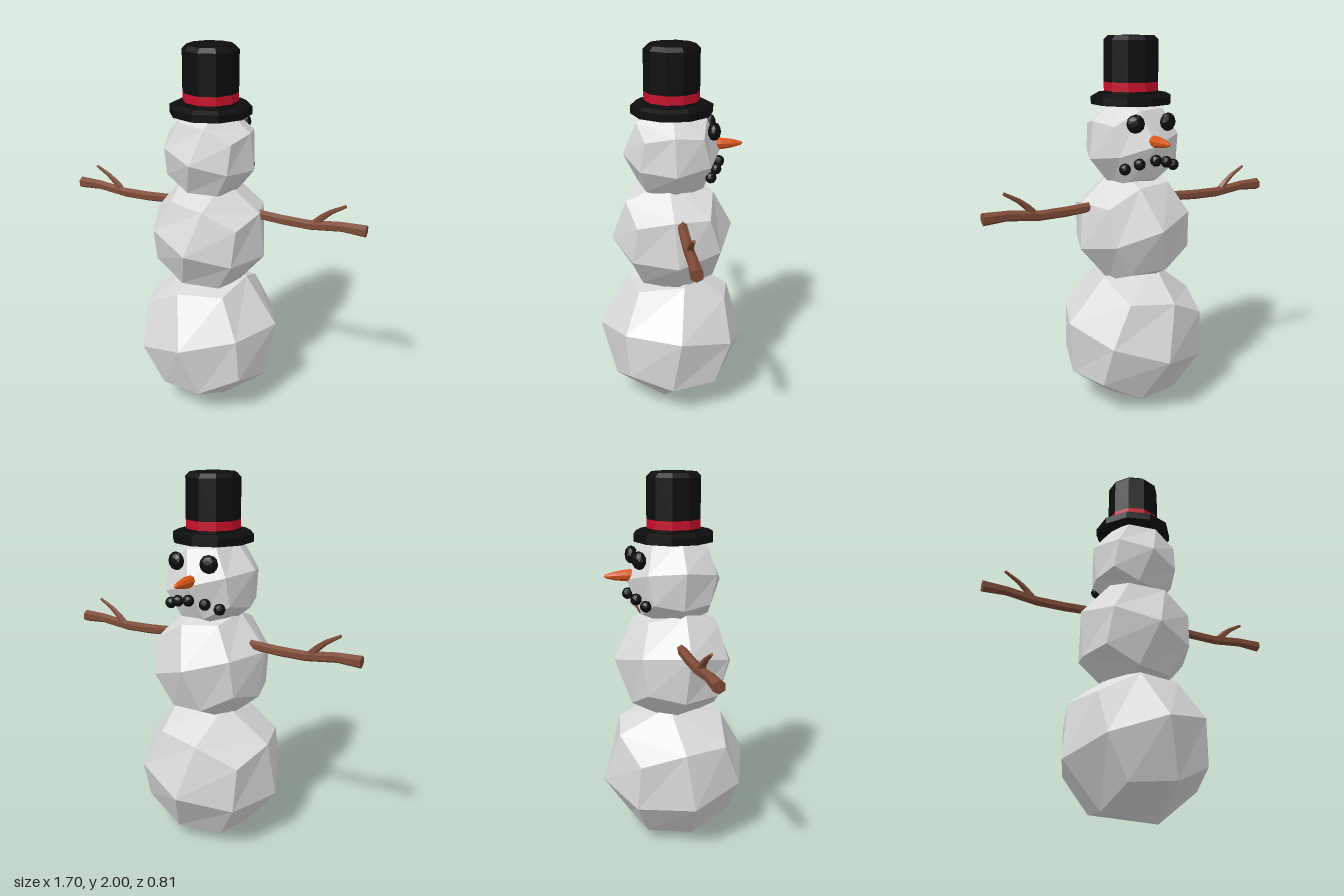
import * as THREE from 'three';

const mat = (name, color, flatShading = true) => {
  const m = new THREE.MeshStandardMaterial({ color, flatShading });
  m.name = name;
  return m;
};

export function createModel() {
  const snow = mat('snow', 0xdadada);
  const black = mat('black', 0x0d0d0d);
  const red = mat('red', 0xc8102a);
  const orange = mat('orange', 0xd9561a);
  const brown = mat('brown', 0x7d4a36);

  const model = new THREE.Group();
  model.name = 'snowman';
  const add = (name, geometry, material, parent = model) => {
    const mesh = new THREE.Mesh(geometry, material);
    mesh.name = name;
    parent.add(mesh);
    return mesh;
  };

  // Snowballs: cubes split in two per side and pushed out to a sphere
  const ball = (name, radius, y, tiltX, tiltZ) => {
    const geo = new THREE.BoxGeometry(1, 1, 1, 2, 2, 2);
    const pos = geo.attributes.position;
    const v = new THREE.Vector3();
    for (let i = 0; i < pos.count; i++) {
      v.fromBufferAttribute(pos, i).setLength(radius);
      pos.setXYZ(i, v.x, v.y, v.z);
    }
    geo.computeVertexNormals();
    const mesh = add(name, geo, snow);
    mesh.position.y = y;
    const rad = THREE.MathUtils.degToRad;
    mesh.rotation.set(rad(tiltX), 0, rad(tiltZ));
  };
  ball('bottomBall', 0.407, 0.388, -8, 16);
  ball('middleBall', 0.328, 1.0, 5, -17);
  ball('head', 0.257, 1.45, 2, -16);

  // Hat: ten-sided turned rings, black with a red band
  const lathe = (points, sides) =>
    new THREE.LatheGeometry(points.map(([r, y]) => new THREE.Vector2(r, y)), sides);
  const hat = new THREE.Group();
  hat.name = 'hat';
  model.add(hat);
  add('hatBrim', lathe([[0, 1.655], [0.214, 1.655], [0.214, 1.695], [0.185, 1.71], [0.145, 1.71], [0.145, 1.722]], 10), black, hat);
  add('hatBand', lathe([[0.145, 1.722], [0.145, 1.768]], 10), red, hat);
  add('hatCrown', lathe([[0.145, 1.768], [0.145, 1.978], [0.122, 2.0], [0, 2.0]], 10), black, hat);

  // Carrot nose, pointing to -z
  const nose = add('nose', lathe([[0, 0], [0.032, 0], [0.031, 0.05], [0.023, 0.11], [0.01, 0.16], [0, 0.168]], 9), orange);
  nose.rotation.x = -Math.PI / 2;
  nose.position.set(0, 1.482, -0.205);

  // Coal eyes and the bent row of mouth coals
  const coal = (name, x, y, z, r, depth) => {
    const mesh = add(name, new THREE.IcosahedronGeometry(r, 1), black);
    mesh.position.set(x, y, z);
    mesh.scale.z = depth;
    mesh.rotation.y = -x * 3;
  };
  for (const s of [-1, 1]) coal(s > 0 ? 'leftEye' : 'rightEye', s * 0.095, 1.573, -0.208, 0.048, 0.7);
  for (const [x, y, z] of [
    [-0.145, 1.345, -0.187], [-0.08, 1.37, -0.222], [0, 1.387, -0.25],
    [0.08, 1.37, -0.222], [0.145, 1.345, -0.187],
  ]) coal('mouthCoal', x, y, z, 0.031, 0.95);

  // Stick lofted through [x, y, radius] stations with closed ends
  const stick = (stations, sides = 6) => {
    const verts = [];
    const index = [];
    const last = stations.length - 1;
    stations.forEach(([x, y, r], i) => {
      const a = stations[Math.max(i - 1, 0)];
      const b = stations[Math.min(i + 1, last)];
      const len = Math.hypot(b[0] - a[0], b[1] - a[1]);
      const tx = (b[0] - a[0]) / len;
      const ty = (b[1] - a[1]) / len;
      for (let k = 0; k < sides; k++) {
        const t = (k / sides) * Math.PI * 2;
        const c = Math.cos(t) * r;
        verts.push(x - ty * c, y + tx * c, Math.sin(t) * r);
      }
    });
    for (let i = 0; i < last; i++) {
      for (let k = 0; k < sides; k++) {
        const n = (k + 1) % sides;
        const p = i * sides;
        const q = p + sides;
        index.push(p + k, p + n, q + n, p + k, q + n, q + k);
      }
    }
    for (let k = 1; k < sides - 1; k++) {
      const e = last * sides;
      index.push(0, k + 1, k, e, e + k, e + k + 1);
    }
    const geo = new THREE.BufferGeometry();
    geo.setAttribute('position', new THREE.Float32BufferAttribute(verts, 3));
    geo.setIndex(index);
    geo.computeVertexNormals();
    return geo;
  };

  // Branch arms, the second one turned half round
  for (const s of [1, -1]) {
    const arm = new THREE.Group();
    arm.name = s > 0 ? 'leftArm' : 'rightArm';
    arm.position.z = -0.027;
    if (s < 0) arm.rotation.y = Math.PI;
    add('armBranch', stick([
      [0.22, 1.135, 0.026], [0.4, 1.124, 0.027], [0.55, 1.122, 0.027], [0.72, 1.142, 0.027], [0.847, 1.14, 0.033],
    ]), brown, arm);
    add('armTwig', stick([
      [0.585, 1.14, 0.022], [0.615, 1.175, 0.017], [0.66, 1.212, 0.013], [0.735, 1.255, 0.008],
    ]), brown, arm);
    model.add(arm);
  }

  return model;
}
